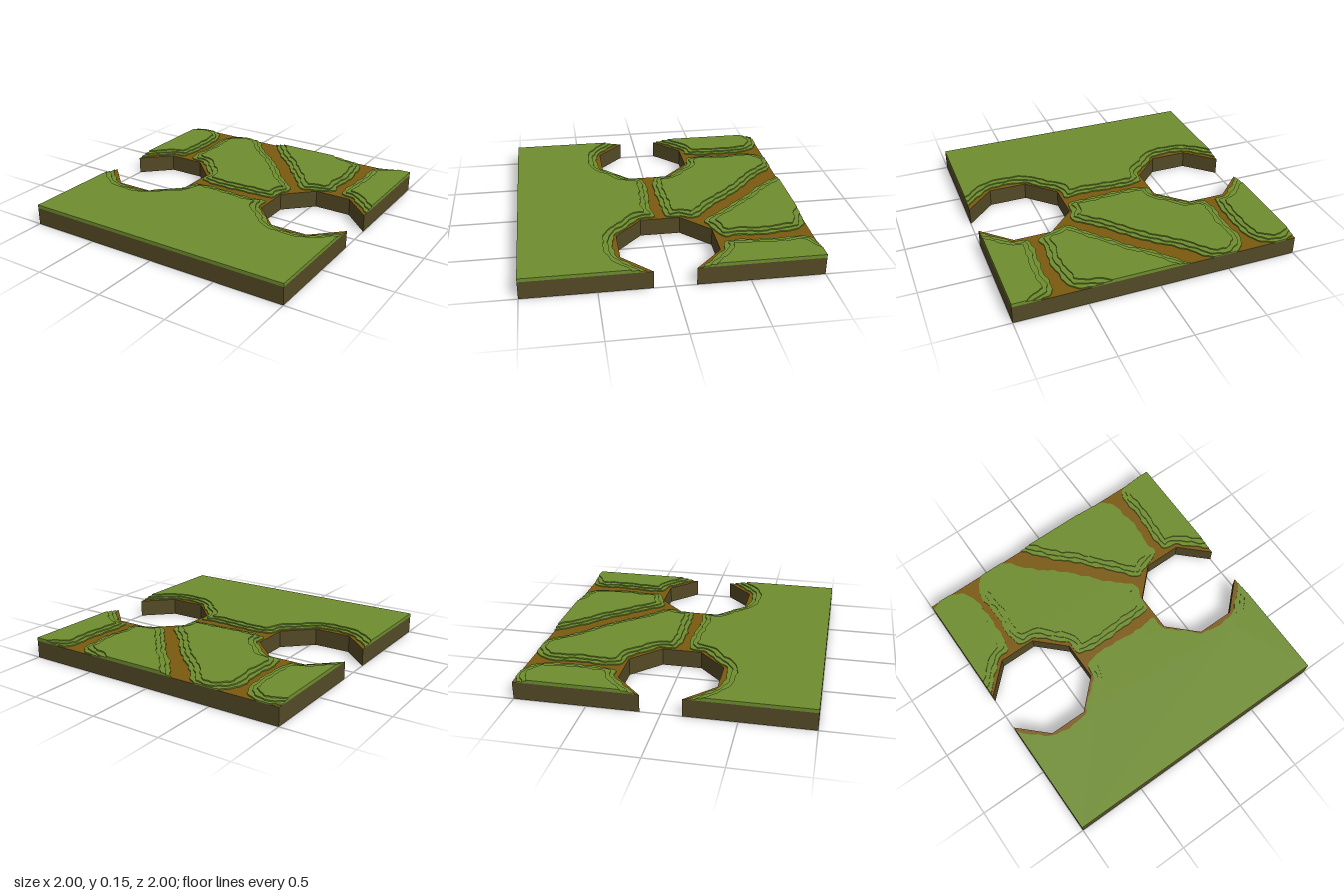
import * as THREE from 'three';

// Plan outlines of the grassy plateaus in hundredths, [x, z]; they run past the slab and get clipped
const PLATEAUS = {
  frontMeadow: [[-130, -10], [-100, 18], [-93, 25], [-80, 35], [-66, 37], [-53, 35], [-45, 27], [-33, 17], [-31, 8],
    [-26, 4], [-13, 3], [3, 4], [17, 5], [30, 4], [32, 15], [43, 25], [52, 34], [67, 37], [81, 35], [91, 27],
    [100, 19], [130, -10], [130, 130], [-130, 130]],
  backRightCornerMeadow: [[-130, -93], [-105, -95], [-90, -101], [-80, -98], [-73, -92], [-70, -83], [-69, -65],
    [-70, -45], [-72, -38], [-80, -36], [-88, -29], [-100, -17], [-130, 8]],
  middleMeadow: [[-65, -88], [-60, -96], [-50, -102], [-40, -101], [-34, -97], [-26, -87], [-18, -79], [-5, -68],
    [9, -53], [19, -41], [30, -31], [36, -23], [32, -15], [32, -6], [27, -4], [8, -3], [-8, -2], [-24, -3],
    [-31, -6], [-32, -16], [-40, -24], [-50, -34], [-61, -36], [-65, -45], [-64, -65]],
  backMeadow: [[-28, -112], [-20, -100], [-12, -90], [-2, -78], [9, -68], [17, -58], [27, -47], [35, -37], [42, -30],
    [49, -33], [59, -36], [64, -40], [63, -50], [65, -66], [63, -82], [61, -93], [55, -98], [42, -102], [30, -112]],
  backLeftCornerMeadow: [[95, -112], [82, -101], [74, -97], [71, -90], [72, -77], [71, -60], [70, -45], [72, -38],
    [80, -36], [88, -29], [100, -18], [130, 8], [130, -112]],
};
const PATH_TOP = 0.125, STEP = 0.025 / 3;
const INSETS = [0, 0.03, 0.065];

// Keep the part of a polygon inside the square slab
function clipToSlab(points) {
  for (const [axis, sign] of [['x', 1], ['x', -1], ['y', 1], ['y', -1]]) {
    const out = [];
    points.forEach((p, i) => {
      const q = points[(i + 1) % points.length];
      const a = 1 - sign * p[axis], b = 1 - sign * q[axis];
      if (a >= 0) out.push(p);
      if (a * b < 0) out.push(p.clone().lerp(q, a / (a - b)));
    });
    points = out;
  }
  return points;
}

// Smooth, slightly ragged outline moved inward by a distance
function terraceOutline(outline, inset, level) {
  const curve = new THREE.CatmullRomCurve3(
    outline.map(([x, z]) => new THREE.Vector3(x / 100, -z / 100, 0)), true);
  const count = Math.round(curve.getLength() / 0.022);
  const base = curve.getSpacedPoints(count).slice(0, count).map(p => new THREE.Vector2(p.x, p.y));
  const side = THREE.ShapeUtils.area(base) > 0 ? 1 : -1;
  const moved = [];
  base.forEach((p, i) => {
    const t = base[(i + 1) % count].clone().sub(base[(i + count - 1) % count]).normalize();
    const s = i * 0.022;
    const ragged = 0.004 * Math.sin(41 * s + level * 1.9) + 0.003 * Math.sin(73 * s + level * 4.1);
    const d = inset + ragged;
    const q = new THREE.Vector2(p.x - t.y * side * d, p.y + t.x * side * d);
    // Drop points that fold over at tight corners
    if (inset === 0 || base.every(b => b.distanceTo(q) > d * 0.94)) moved.push(q);
  });
  return clipToSlab(moved);
}

// Extrude a plan upward between two heights
function slab(points, bottom, top, materials, name) {
  const geometry = new THREE.ExtrudeGeometry(new THREE.Shape(points), { depth: top - bottom, bevelEnabled: false });
  geometry.rotateX(-Math.PI / 2);
  geometry.translate(0, bottom, 0);
  const mesh = new THREE.Mesh(geometry, materials);
  mesh.name = name;
  return mesh;
}

export function createModel() {
  const model = new THREE.Group();
  model.name = 'terrainTile';
  const material = (name, color) => Object.assign(new THREE.MeshStandardMaterial({ color }), { name });
  const grass = material('grass green', 0x6f8d2e);
  const dirt = material('dirt path brown', 0x7c5a10);
  const soil = material('dark soil', 0x544a26);

  // Square plan with an octagonal notch in each side
  const notch = [[1, 0.14], [0.8, 0.333], [0.53, 0.333], [0.333, 0.14],
    [0.333, -0.14], [0.53, -0.333], [0.8, -0.333], [1, -0.14]];
  const half = [[1, 1], ...notch, [1, -1]];
  const plan = [...half, ...half.map(([x, y]) => [-x, -y])].map(([x, y]) => new THREE.Vector2(x, y));

  model.add(slab(plan, 0, 0.12, soil, 'soilBase'));
  model.add(slab(plan, 0.12, PATH_TOP, [dirt, soil], 'pathSurface'));

  // Three grass terraces on each plateau
  for (const [name, outline] of Object.entries(PLATEAUS)) {
    const group = new THREE.Group();
    group.name = name;
    INSETS.forEach((inset, level) => {
      const bottom = PATH_TOP + level * STEP;
      group.add(slab(terraceOutline(outline, inset, level), bottom, bottom + STEP, grass, 'grassTerrace' + (level + 1)));
    });
    model.add(group);
  }
  return model;
}
